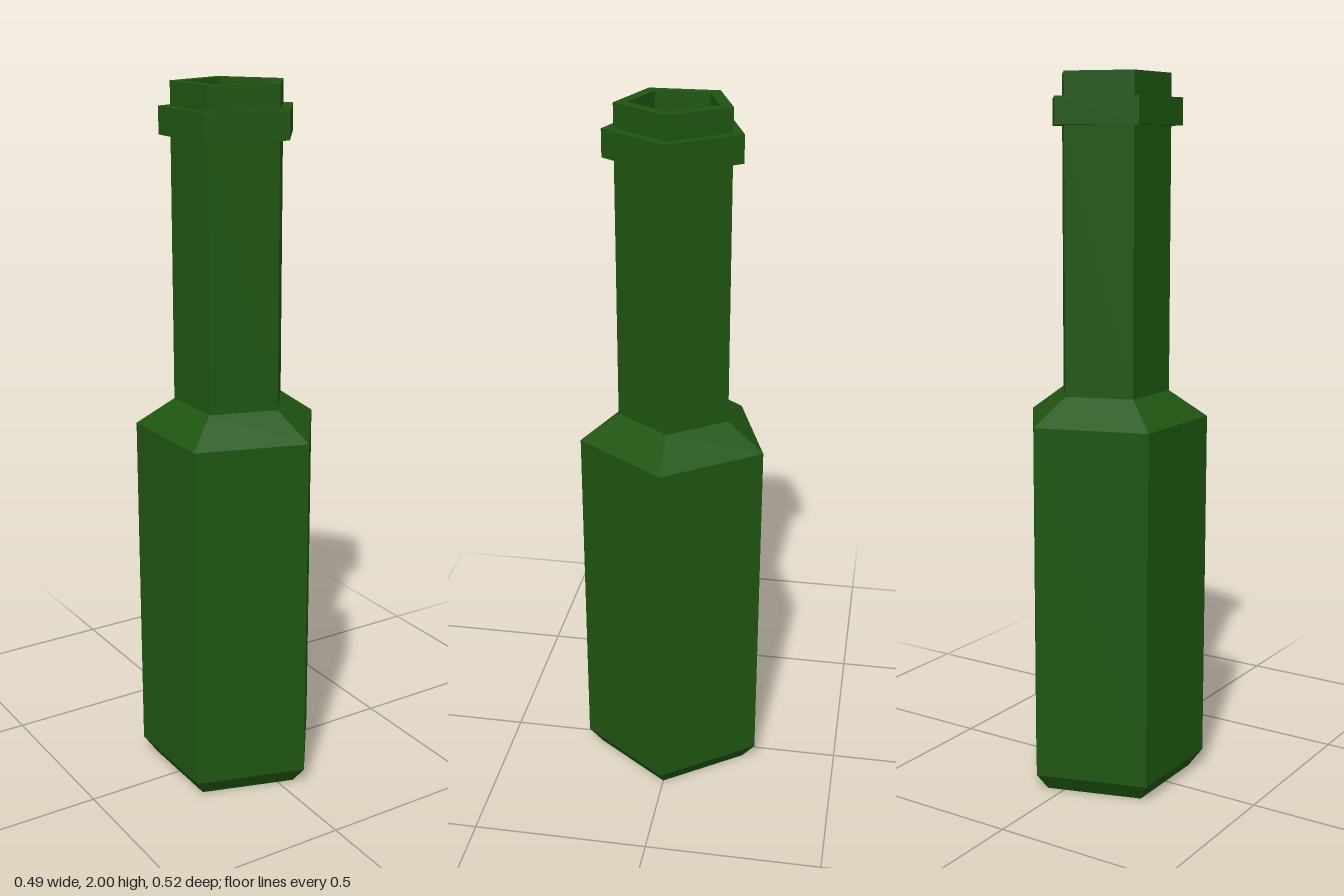
import * as THREE from 'three';

const SIDES = 5;
const CENTRE_X = -0.026; // pentagon centre, so the bounds are centred on x = 0

// Five-sided faceted solid of revolution, with one corner pointing to +x
function pentagonLathe(name, profile, material) {
  const points = profile.map(([r, y]) => new THREE.Vector2(r, y));
  const geometry = new THREE.LatheGeometry(points, SIDES, Math.PI / 2).toNonIndexed();
  geometry.computeVertexNormals();
  const mesh = new THREE.Mesh(geometry, material);
  mesh.name = name;
  return mesh;
}

export function createModel() {
  const glass = new THREE.MeshStandardMaterial({ color: 0x1f5510, flatShading: true });
  const drink = new THREE.MeshStandardMaterial({ color: 0x634f11, flatShading: true });

  const group = new THREE.Group();
  group.name = 'bottle';

  // Bevelled base, body, shoulder, neck, collar, lip and the bore inside the neck
  const bottle = pentagonLathe('bottleGlass', [
    [0, 0], [0.232, 0], [0.272, 0.05], [0.272, 1.055],
    [0.163, 1.13], [0.163, 1.86],
    [0.195, 1.86], [0.195, 1.935], [0.163, 1.935],
    [0.163, 2], [0.125, 2], [0.125, 1.13],
  ], glass);

  // Surface of the drink closing the bore
  const liquid = pentagonLathe('liquid', [[0.125, 1.14], [0, 1.14]], drink);

  group.add(bottle, liquid);
  group.children.forEach((part) => { part.position.x = CENTRE_X; });
  return group;
}
